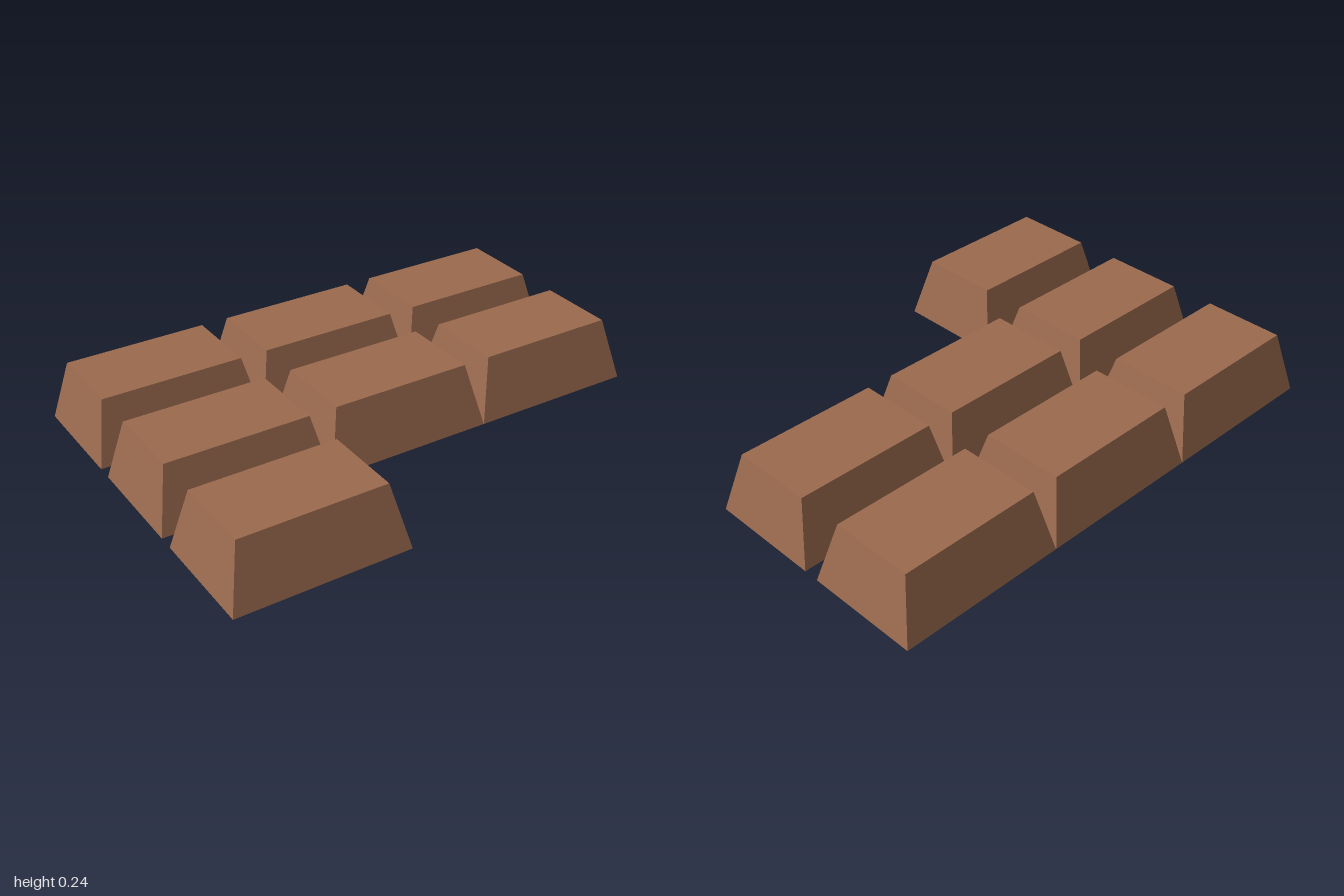
import * as THREE from 'three';

const WIDTH = 0.666, DEPTH = 0.44, HEIGHT = 0.243;
const TOP_WIDTH = 0.558, TOP_DEPTH = 0.32;

// Hollow tapered block: a box narrowed at the top, open underneath
function taperedBlock() {
  const geo = new THREE.BoxGeometry(WIDTH, HEIGHT, DEPTH);
  geo.translate(0, HEIGHT / 2, 0);
  const pos = geo.attributes.position;
  for (let i = 0; i < pos.count; i++) {
    if (pos.getY(i) > HEIGHT / 2) {
      pos.setX(i, Math.sign(pos.getX(i)) * TOP_WIDTH / 2);
      pos.setZ(i, Math.sign(pos.getZ(i)) * TOP_DEPTH / 2);
    }
  }
  // Drop the underside (the fourth face of the box)
  const index = Array.from(geo.index.array);
  index.splice(18, 6);
  geo.setIndex(index);
  geo.clearGroups();
  geo.computeVertexNormals();
  return geo;
}

export function createModel() {
  const group = new THREE.Group();
  group.name = 'chocolateBar';
  const chocolate = new THREE.MeshStandardMaterial({
    color: 0x9c6b4e, flatShading: true, side: THREE.DoubleSide,
  });
  chocolate.name = 'milk chocolate brown';
  const geo = taperedBlock();

  // Two full rows of three blocks, and one block left in the front row
  const rows = [
    { name: 'back', z: -0.5, count: 3 },
    { name: 'middle', z: 0, count: 3 },
    { name: 'front', z: 0.5, count: 1 },
  ];
  for (const { name, z, count } of rows) {
    for (let i = 0; i < count; i++) {
      const block = new THREE.Mesh(geo, chocolate);
      block.name = `${name}RowBlock${i + 1}`;
      block.position.set((i - 1) * 0.667, 0, z);
      group.add(block);
    }
  }
  return group;
}
